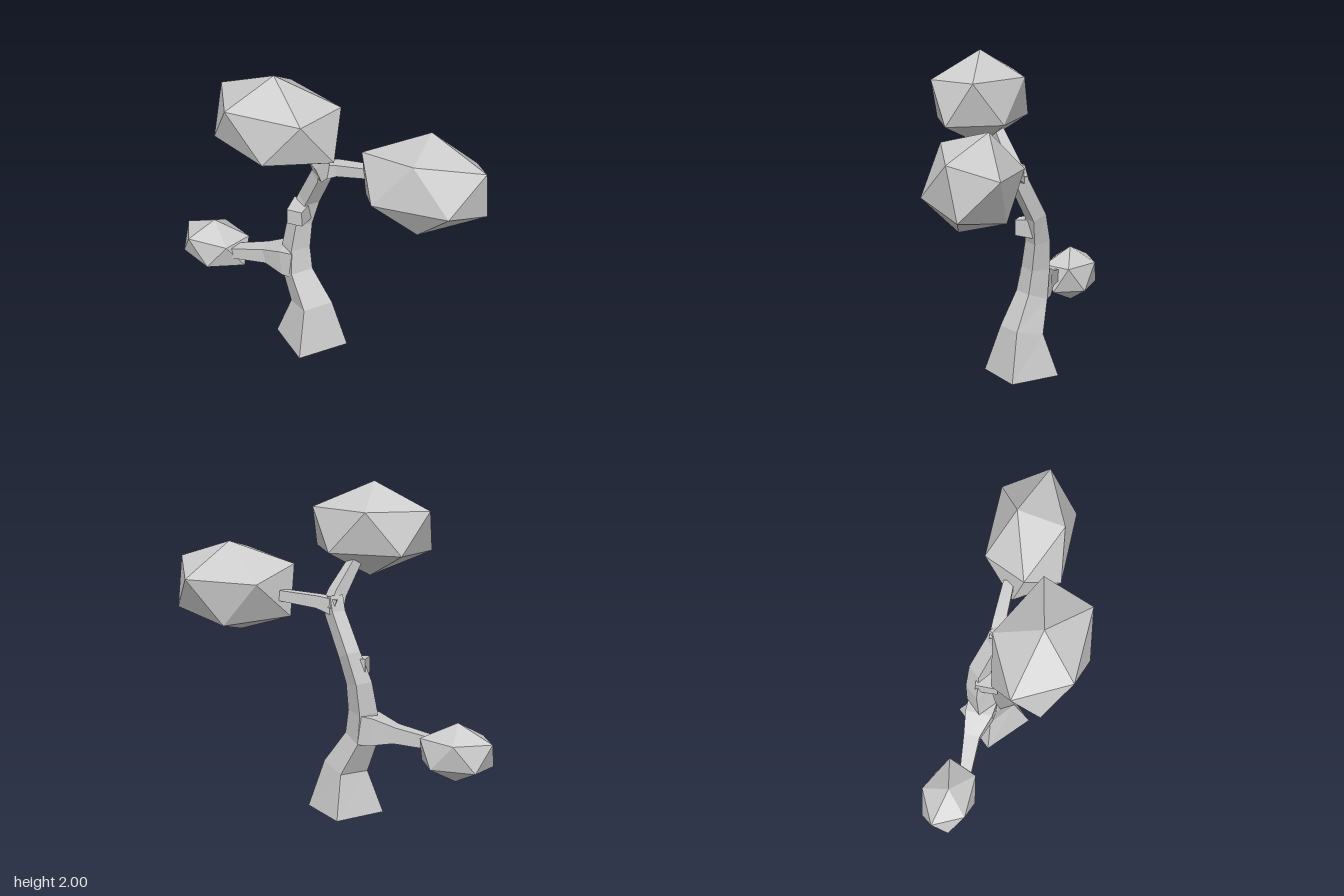
import * as THREE from 'three';
import { ConvexGeometry } from 'three/addons/geometries/ConvexGeometry.js';

const material = new THREE.MeshStandardMaterial({ color: 0xcccccc, flatShading: true });
const V = (a) => new THREE.Vector3(...a);

function addMesh(group, name, geometry) {
  const mesh = new THREE.Mesh(geometry, material);
  mesh.name = name;
  group.add(mesh);
}

// Square-sectioned limb through stations [x, y, z, halfWidth]; side sets its roll
function limb(stations, side) {
  const centres = stations.map(([x, y, z]) => V([x, y, z]));
  const last = centres.length - 1;
  const rings = centres.map((c, i) => {
    const t = centres[Math.min(i + 1, last)].clone().sub(centres[Math.max(i - 1, 0)]).normalize();
    const s = V(side);
    s.addScaledVector(t, -s.dot(t) * (i === 0 ? 0 : 0.3)).normalize();
    const o = t.clone().cross(s).normalize();
    const h = stations[i][3];
    return [[1, 1], [-1, 1], [-1, -1], [1, -1]].map(([a, b]) =>
      c.clone().addScaledVector(s, a * h).addScaledVector(o, b * h));
  });
  const points = [];
  const quad = (a, b, c, d) => points.push(a, b, c, a, c, d);
  for (let i = 0; i < last; i++) {
    for (let k = 0; k < 4; k++) {
      const n = (k + 1) % 4;
      quad(rings[i][k], rings[i][n], rings[i + 1][n], rings[i + 1][k]);
    }
  }
  quad(...[...rings[0]].reverse());
  quad(...rings[last]);
  const geometry = new THREE.BufferGeometry().setFromPoints(points);
  geometry.computeVertexNormals();
  return geometry;
}

// Stretched icosahedron: a pole vector plus the two axes of its five-point ring
function foliage(centre, pole, u, v) {
  const c = V(centre), p = V(pole), points = [];
  for (const sign of [1, -1]) {
    points.push(c.clone().addScaledVector(p, sign));
    for (let k = 0; k < 5; k++) {
      const a = (k * Math.PI * 2) / 5;
      points.push(c.clone()
        .addScaledVector(p, sign * 0.447)
        .addScaledVector(V(u), sign * Math.cos(a))
        .addScaledVector(V(v), sign * Math.sin(a)));
    }
  }
  return new ConvexGeometry(points);
}

export function createModel() {
  const tree = new THREE.Group();
  tree.name = 'tree';

  // Bent trunk, flared at the foot
  addMesh(tree, 'trunk', limb([
    [-0.139, 0, -0.07, 0.167], [-0.138, 0.28, -0.073, 0.097], [-0.185, 0.48, -0.175, 0.072],
    [-0.18, 0.65, -0.198, 0.064], [-0.152, 0.83, -0.196, 0.056], [-0.11, 1.0, -0.155, 0.048],
    [-0.09, 1.23, -0.025, 0.045], [-0.09, 1.33, 0.005, 0.045],
  ], [1, 0, 0]));

  // Branches and the cut stub
  addMesh(tree, 'upperBranch', limb([
    [-0.08, 1.25, 0, 0.05], [-0.13, 1.35, 0.015, 0.042], [-0.27, 1.54, 0.03, 0.03],
  ], [0, 0, 1]));
  addMesh(tree, 'leftBranch', limb([
    [-0.1, 1.27, -0.02, 0.05], [-0.02, 1.3, 0.05, 0.038], [0.14, 1.325, 0.23, 0.032],
  ], [0.7, 0, -0.7]));
  addMesh(tree, 'lowerBranch', limb([
    [-0.18, 0.55, -0.185, 0.09], [-0.23, 0.545, -0.25, 0.085],
    [-0.31, 0.53, -0.36, 0.05], [-0.49, 0.485, -0.54, 0.034],
  ], [0.7, 0, -0.7]));
  addMesh(tree, 'stub', limb([
    [-0.13, 0.92, -0.19, 0.06], [-0.235, 0.92, -0.1, 0.049],
  ], [0.66, 0, 0.75]));

  // Foliage clumps
  addMesh(tree, 'upperFoliage', foliage(
    [-0.405, 1.71, 0.058], [-0.01, 0.29, -0.005], [0.297, 0, 0.22], [-0.102, 0, 0.282]));
  addMesh(tree, 'leftFoliage', foliage(
    [0.302, 1.355, 0.508], [0.07, 0.29, -0.06], [0.19, 0.036, 0.32], [-0.254, 0.081, 0.054]));
  addMesh(tree, 'lowerFoliage', foliage(
    [-0.523, 0.465, -0.685], [-0.005, 0.18, 0], [0.178, 0, 0.13], [-0.066, 0, 0.165]));

  return tree;
}
